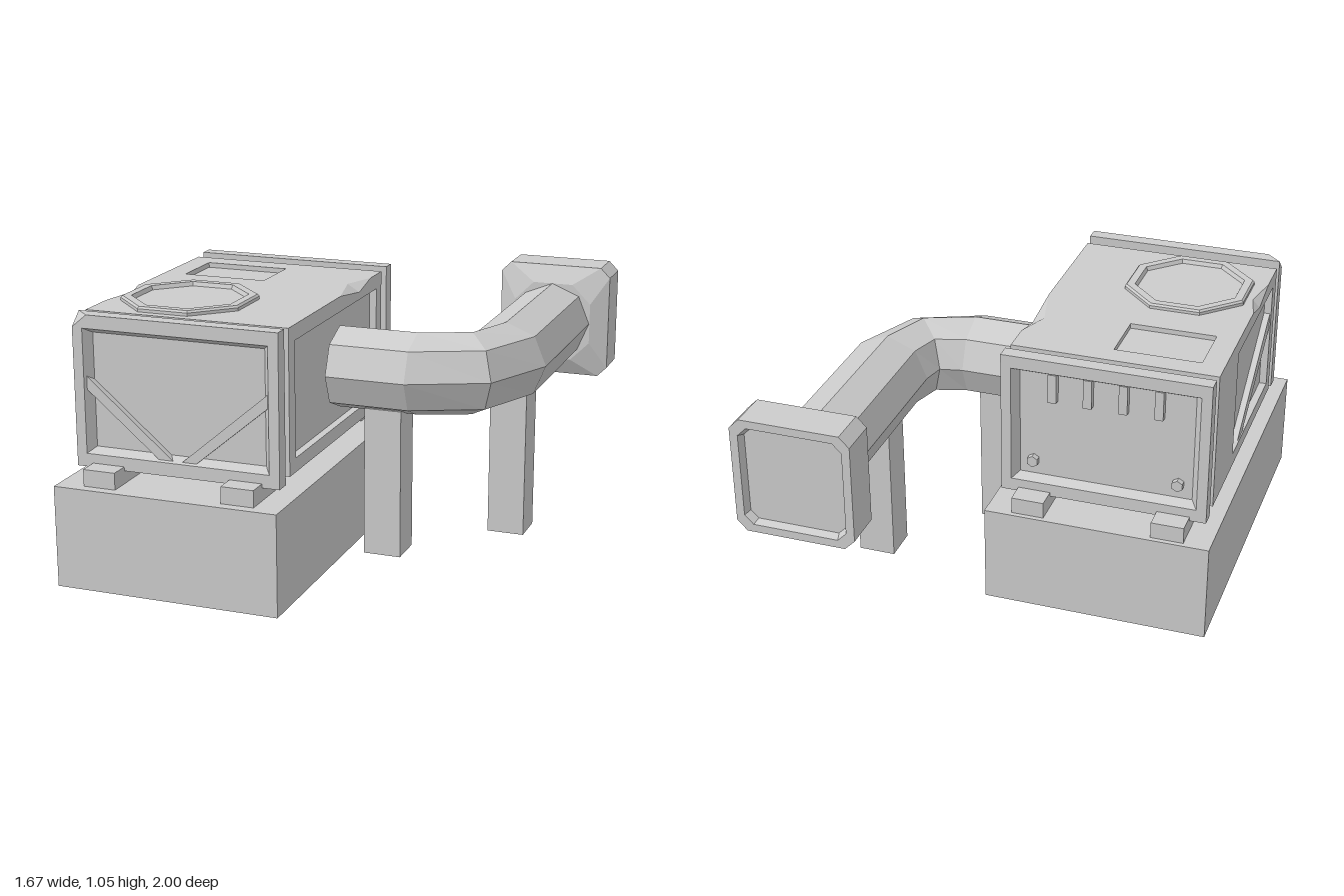
import * as THREE from 'three';

const mat = new THREE.MeshStandardMaterial({ color: 0xcccccc, flatShading: true });

function add(parent, name, geometry, x = 0, y = 0, z = 0) {
  const mesh = new THREE.Mesh(geometry, mat);
  mesh.name = name;
  mesh.position.set(x, y, z);
  parent.add(mesh);
  return mesh;
}

// Box given by its minimum and maximum corners
function block(parent, name, [x0, y0, z0], [x1, y1, z1]) {
  return add(parent, name, new THREE.BoxGeometry(x1 - x0, y1 - y0, z1 - z0),
    (x0 + x1) / 2, (y0 + y1) / 2, (z0 + z1) / 2);
}

// Skin over a series of closed rings (each [[x, y, z], ...]) with both ends capped
function loft(rings) {
  const pos = [];
  const tri = (a, b, c) => pos.push(...a, ...b, ...c);
  const n = rings[0].length;
  for (let k = 0; k + 1 < rings.length; k++) {
    const a = rings[k], b = rings[k + 1];
    for (let i = 0; i < n; i++) {
      const j = (i + 1) % n;
      tri(a[i], a[j], b[j]);
      tri(a[i], b[j], b[i]);
    }
  }
  const first = rings[0], last = rings[rings.length - 1];
  for (let i = 1; i + 1 < n; i++) {
    tri(first[0], first[i + 1], first[i]);
    tri(last[0], last[i], last[i + 1]);
  }
  const g = new THREE.BufferGeometry();
  g.setAttribute('position', new THREE.Float32BufferAttribute(pos, 3));
  g.computeVertexNormals();
  return g;
}

// Rectangle ring with its upper -x corner chipped off
const rectRing = (w, h, z, chip = 0) => [
  [-w, -h, z], [w, -h, z], [w, h, z], [-w + chip * 1.2, h, z], [-w, h - chip, z]];

// Square ring with all four corners cut
const cutSquare = (s, c, z) => [
  [s, -s + c, z], [s, s - c, z], [s - c, s, z], [-s + c, s, z],
  [-s, s - c, z], [-s, -s + c, z], [-s + c, -s, z], [s - c, -s, z]];

const octagon = (apothem, z) => Array.from({ length: 8 }, (_, i) => {
  const t = (i + 0.5) * Math.PI / 4, r = apothem / Math.cos(Math.PI / 8);
  return [r * Math.cos(t), r * Math.sin(t), z];
});

function plate(points, depth) {
  const shape = new THREE.Shape(points.map(([x, y]) => new THREE.Vector2(x, y)));
  return new THREE.ExtrudeGeometry(shape, { depth, bevelEnabled: false });
}

// Housing cross-section: side recesses (right, left), hatch recess, chipped top edges
function housingRing([z, rr, rl, hatch, chipR, chipL]) {
  const R = 0.02, L = -0.8, T = 1.03, d = 0.03;
  return [
    [L, 0.465], [R, 0.465],
    [R, 0.52], [R - rr * d, 0.52], [R - rr * d, 0.97], [R, 0.97],
    [R, T - chipR * 0.03], [R - chipR * 0.05, T],
    [-0.365, T], [-0.365, T - hatch * 0.02], [-0.71, T - hatch * 0.02], [-0.71, T],
    [L + chipL * 0.03, T], [L, T - chipL * 0.03],
    [L, 0.97], [L + rl * d, 0.97], [L + rl * d, 0.52], [L, 0.52],
  ].map(([x, y]) => [x, y, z]);
}

function buildHousing(root) {
  const g = new THREE.Group();
  g.name = 'housing';
  root.add(g);

  add(g, 'housingShell', loft([
    [-0.23, 0, 0, 0, 0, 0],
    [-0.17, 0, 0, 0, 0, 0], [-0.17, 1, 0, 0, 0, 0],
    [-0.14, 1, 0, 0, 0, 0], [-0.14, 1, 0, 1, 0, 0],
    [-0.10, 1, 0, 1, 0, 0], [0.03, 1, 0, 1, 1, 0],
    [0.09, 1, 0, 1, 0.7, 0], [0.09, 1, 1, 0, 0.7, 0],
    [0.24, 1, 1, 0, 0, 0],
    [0.33, 1, 1, 0, 0, 0], [0.45, 1, 1, 0, 0, 1], [0.61, 1, 1, 0, 0, 0],
    [0.71, 1, 1, 0, 0, 0], [0.71, 0, 0, 0, 0, 0],
    [0.77, 0, 0, 0, 0, 0],
  ].map(housingRing)));

  // Narrow necks between housing and end panels
  block(g, 'frontNeck', [-0.75, 0.49, 0.76], [-0.03, 1.0, 0.83]);
  block(g, 'backNeck', [-0.75, 0.49, -0.29], [-0.03, 1.0, -0.22]);

  // Diagonal brace in the side recess
  const brace = add(g, 'sideBrace',
    plate([[0.71, 0.78], [0.71, 0.85], [0.19, 0.52], [0.28, 0.52]], 0.025), -0.77);
  brace.rotation.y = -Math.PI / 2;

  // Raised octagonal rim on the roof
  const rim = add(g, 'roofRim', loft([
    octagon(0.245, -0.005), octagon(0.245, 0.012), octagon(0.238, 0.02),
    octagon(0.207, 0.02), octagon(0.2, 0.004)]), -0.5, 1.03, 0.49);
  rim.rotation.x = -Math.PI / 2;
}

// Framed end panel facing local +z, with a bevelled recess
function endPanel(root, name, z, turn, chip) {
  const g = new THREE.Group();
  g.name = name;
  g.position.set(-0.3875, 0.745, z);
  g.rotation.y = turn;
  root.add(g);
  add(g, 'panelFrame', loft([
    rectRing(0.4125, 0.295, 0), rectRing(0.4125, 0.295, 0.058, chip),
    rectRing(0.372, 0.243, 0.058), rectRing(0.346, 0.222, 0.022)]));
  return g;
}

function buildPipe(root) {
  const g = new THREE.Group();
  g.name = 'pipe';
  root.add(g);
  // Bent octagonal duct: [x, z, heading, radius]
  const q = Math.PI / 4;
  const path = [[0, 0.195, 0, 0.165], [0.32, 0.195, 0, 0.165],
    [0.518, 0.118, q, 0.152], [0.595, -0.08, 2 * q, 0.165], [0.595, -0.82, 2 * q, 0.165]];
  add(g, 'duct', loft(path.map(([x, z, a, r]) => Array.from({ length: 8 }, (_, i) => {
    const s = r * Math.cos(i * q), u = 0.165 * Math.sin(i * q);
    return [x + s * Math.sin(a), 0.7375 + u, z + s * Math.cos(a)];
  }).reverse())));

  // Flared end cap with a shallow recess
  const cap = add(g, 'endCap', loft([
    cutSquare(0.165, 0.08, 0), cutSquare(0.2375, 0.04, 0.04), cutSquare(0.2375, 0.04, 0.2),
    cutSquare(0.205, 0.035, 0.2), cutSquare(0.193, 0.03, 0.17)]), 0.5975, 0.7375, -0.8);
  cap.rotation.y = Math.PI;

  block(g, 'frontPipeLeg', [0.13, 0, 0.125], [0.28, 0.6, 0.272]);
  block(g, 'backPipeLeg', [0.52, 0, -0.285], [0.67, 0.6, -0.138]);
}

export function createModel() {
  const root = new THREE.Group();
  root.name = 'ductedMachine';

  // Plinth and four feet
  block(root, 'base', [-0.84, 0, -0.44], [0.06, 0.4, 1]);
  for (const x of [-0.735, -0.175])
    for (const z of [-0.42, 0.71])
      block(root, 'foot', [x, 0.4, z], [x + 0.13, 0.466, z + 0.25]);

  buildHousing(root);

  // Front panel with V-shaped braces
  const front = endPanel(root, 'frontPanel', 0.822, 0, 0.05);
  const arm = [[-0.368, 0.06], [-0.368, 0.008], [-0.07, -0.243], [-0.012, -0.243]];
  add(front, 'leftBrace', plate(arm.map(([x, y]) => [-x, y]), 0.028), 0, 0, 0.02);
  add(front, 'rightBrace', plate(arm, 0.028), 0, 0, 0.02);

  // Back panel with hanging slats and two bolts
  const back = endPanel(root, 'backPanel', -0.277, Math.PI, 0);
  for (let i = 0; i < 4; i++) {
    const x = -0.21 + i * 0.14;
    block(back, 'slat', [x - 0.017, 0.115, 0.015], [x + 0.017, 0.235, 0.05]);
  }
  for (const x of [-0.29, 0.29]) {
    const bolt = add(back, 'bolt', new THREE.CylinderGeometry(0.024, 0.024, 0.03, 6), x, -0.16, 0.032);
    bolt.rotation.x = Math.PI / 2;
  }

  buildPipe(root);
  return root;
}
